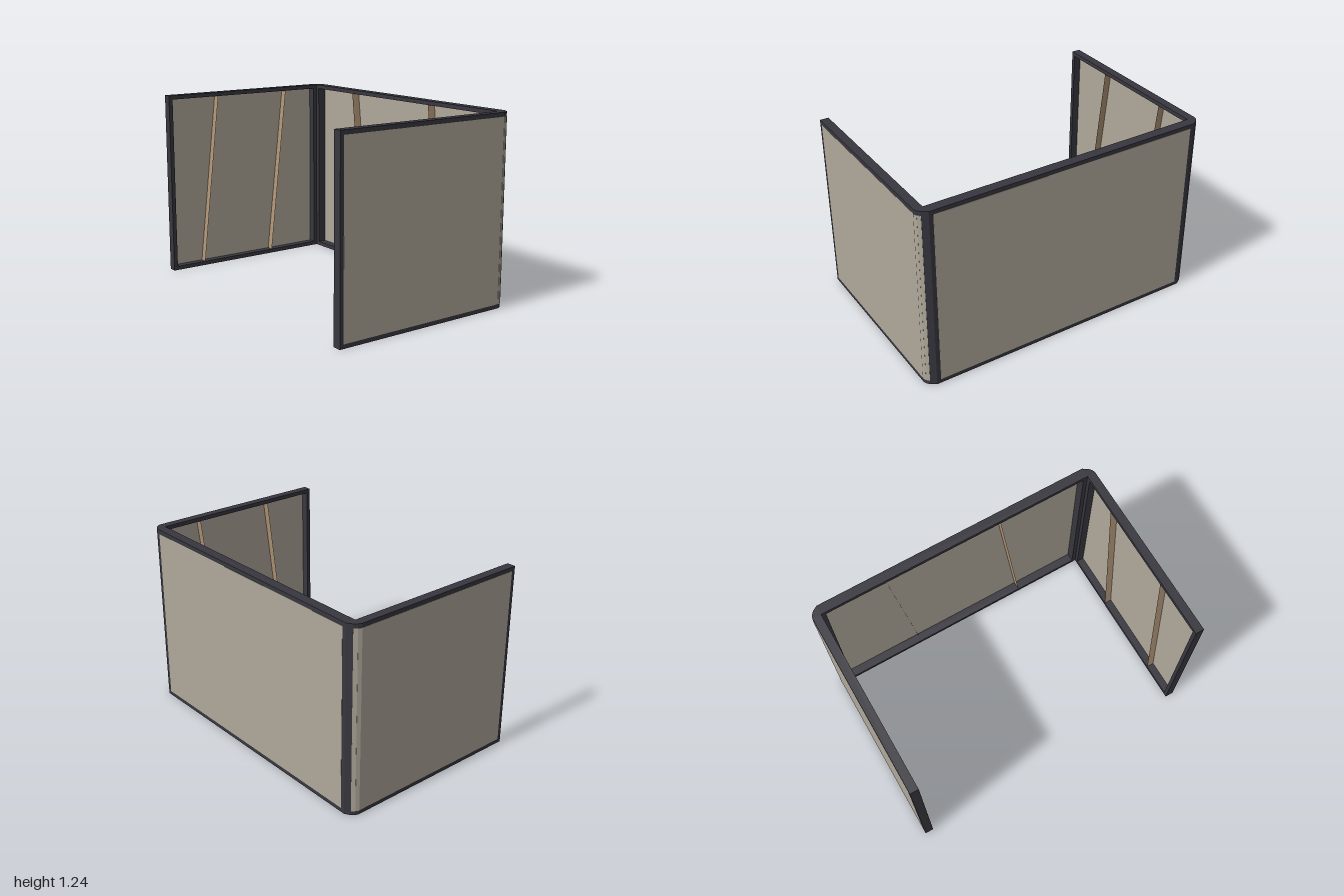
import * as THREE from 'three';

const HEIGHT = 1.235, LIP = 0.027;
const PANE_H = HEIGHT - 2 * LIP;

const frameMat = new THREE.MeshStandardMaterial({ color: 0x38373f });
frameMat.name = 'charcoalFrame';
const paneMat = new THREE.MeshStandardMaterial({ color: 0xb0a99b });
paneMat.name = 'beigeFabric';
const braceMat = new THREE.MeshStandardMaterial({ color: 0xb09476, side: THREE.DoubleSide });
braceMat.name = 'brownWood';

function add(parent, name, geometry, material, x = 0, y = 0, z = 0) {
  const mesh = new THREE.Mesh(geometry, material);
  mesh.name = name;
  mesh.position.set(x, y, z);
  parent.add(mesh);
  return mesh;
}

function rect(Type, w, y0, y1) {
  const p = new Type();
  p.moveTo(-w / 2, y0);
  p.lineTo(w / 2, y0);
  p.lineTo(w / 2, y1);
  p.lineTo(-w / 2, y1);
  p.closePath();
  return p;
}

// One wall: outer face at local z = 0, open recess facing local +z
function makeWall(name, o) {
  const wall = new THREE.Group();
  wall.name = name;

  const outline = rect(THREE.Shape, o.width, 0, HEIGHT);
  outline.holes.push(rect(THREE.Path, o.width - 2 * LIP, LIP, HEIGHT - LIP));
  add(wall, 'frame', new THREE.ExtrudeGeometry(outline, { depth: o.depth, bevelEnabled: false }), frameMat);

  add(wall, 'pane', new THREE.BoxGeometry(o.paneWidth, PANE_H, 0.008), paneMat,
    o.paneShift, HEIGHT / 2, 0.003);

  // Leaning thin braces set edge-on inside the recess
  for (const u of o.braces) {
    const g = new THREE.PlaneGeometry(o.depth - 0.007, PANE_H + 0.02);
    g.rotateY(Math.PI / 2);
    g.rotateZ(o.lean);
    add(wall, 'brace', g, braceMat, u, HEIGHT / 2, o.depth / 2 + 0.003);
  }
  return wall;
}

// Faceted corner post with fabric on the facets nearest the side wall
function makeCorner(name, s) {
  const corner = new THREE.Group();
  corner.name = name;
  const arc = [[1, -0.585], [0.991, -0.608], [0.975, -0.628], [0.94, -0.65]]
    .map(([x, z]) => new THREE.Vector2(s * x, z));
  const outline = new THREE.Shape(
    [...arc, new THREE.Vector2(s * 0.94, -0.585)].map((p) => new THREE.Vector2(p.x, -p.y)));
  const post = new THREE.ExtrudeGeometry(outline, { depth: HEIGHT, bevelEnabled: false });
  post.rotateX(-Math.PI / 2);
  add(corner, 'post', post, frameMat);

  for (let i = 0; i < 2; i++) {
    const a = arc[i], b = arc[i + 1];
    const strip = add(corner, 'cornerFabric', new THREE.BoxGeometry(a.distanceTo(b), PANE_H, 0.004),
      paneMat, (a.x + b.x) / 2, HEIGHT / 2, (a.y + b.y) / 2);
    strip.rotation.y = Math.atan2(a.y - b.y, b.x - a.x);
  }
  return corner;
}

export function createModel() {
  const model = new THREE.Group();
  model.name = 'partitionScreen';

  const back = makeWall('backWall', {
    width: 1.88, depth: 0.065, paneWidth: 1.88 - 2 * LIP, paneShift: 0,
    braces: [-0.43, 0.38], lean: 0.12,
  });
  back.position.z = -0.65;
  model.add(back);

  // Side walls and corners, mirrored
  for (const s of [-1, 1]) {
    const side = makeWall(s < 0 ? 'rightWall' : 'leftWall', {
      width: 1.235, depth: 0.057, paneWidth: 1.21, paneShift: -s * 0.0125,
      braces: [-s * 0.3, s * 0.27].map((u) => -u), lean: s * 0.115,
    });
    side.position.set(s * 0.999, 0, 0.0325);
    side.rotation.y = -s * Math.PI / 2;
    model.add(side);
    model.add(makeCorner(s < 0 ? 'rightCorner' : 'leftCorner', s));
  }
  return model;
}
